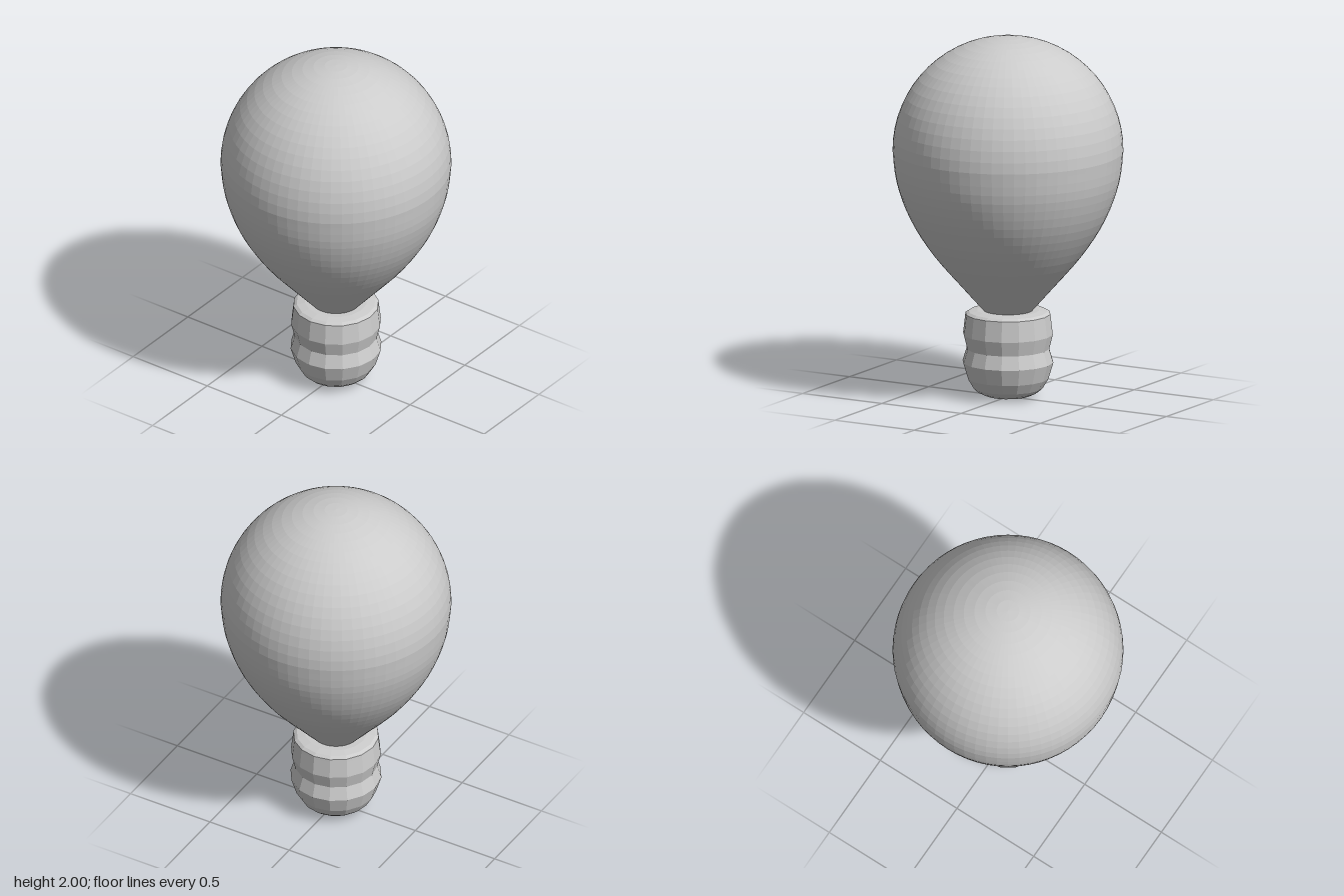
import * as THREE from 'three';

const material = new THREE.MeshStandardMaterial({ color: 0xcccccc, flatShading: true });

// Surface of revolution from [radius, height] pairs, listed bottom to top
function turned(name, points, sides) {
  const profile = points.map(([r, y]) => new THREE.Vector2(r, y));
  const mesh = new THREE.Mesh(new THREE.LatheGeometry(profile, sides), material);
  mesh.name = name;
  return mesh;
}

export function createModel() {
  const group = new THREE.Group();
  group.name = 'lightBulb';

  // Glass: a tapering neck that flows into a round dome
  const radius = 0.627, centreY = 1.373;
  const neck = new THREE.SplineCurve([
    [0.115, 0.465], [0.235, 0.6], [0.407, 0.8], [0.533, 1.0], [0.605, 1.2], [radius, centreY],
  ].map(([r, y]) => new THREE.Vector2(r, y)));
  const glass = [[0, 0.465], ...neck.getPoints(20).map((p) => [p.x, p.y])];
  glass[glass.length - 1] = [radius, centreY];
  for (let i = 1; i <= 16; i++) {
    const a = (i / 16) * Math.PI / 2;
    glass.push([i === 16 ? 0 : radius * Math.cos(a), centreY + radius * Math.sin(a)]);
  }
  group.add(turned('glassBulb', glass, 64));

  // Screw base: rounded underside, two ridges and a bevelled flat top
  group.add(turned('screwBase', [
    [0, 0.004], [0.07, 0.006], [0.125, 0.016], [0.165, 0.034], [0.19, 0.056],
    [0.222, 0.11], [0.249, 0.2], [0.226, 0.275], [0.246, 0.355],
    [0.235, 0.45], [0.233, 0.468], [0.215, 0.48], [0.17, 0.487], [0, 0.488],
  ], 16));

  group.position.y = -0.004;
  return group;
}
